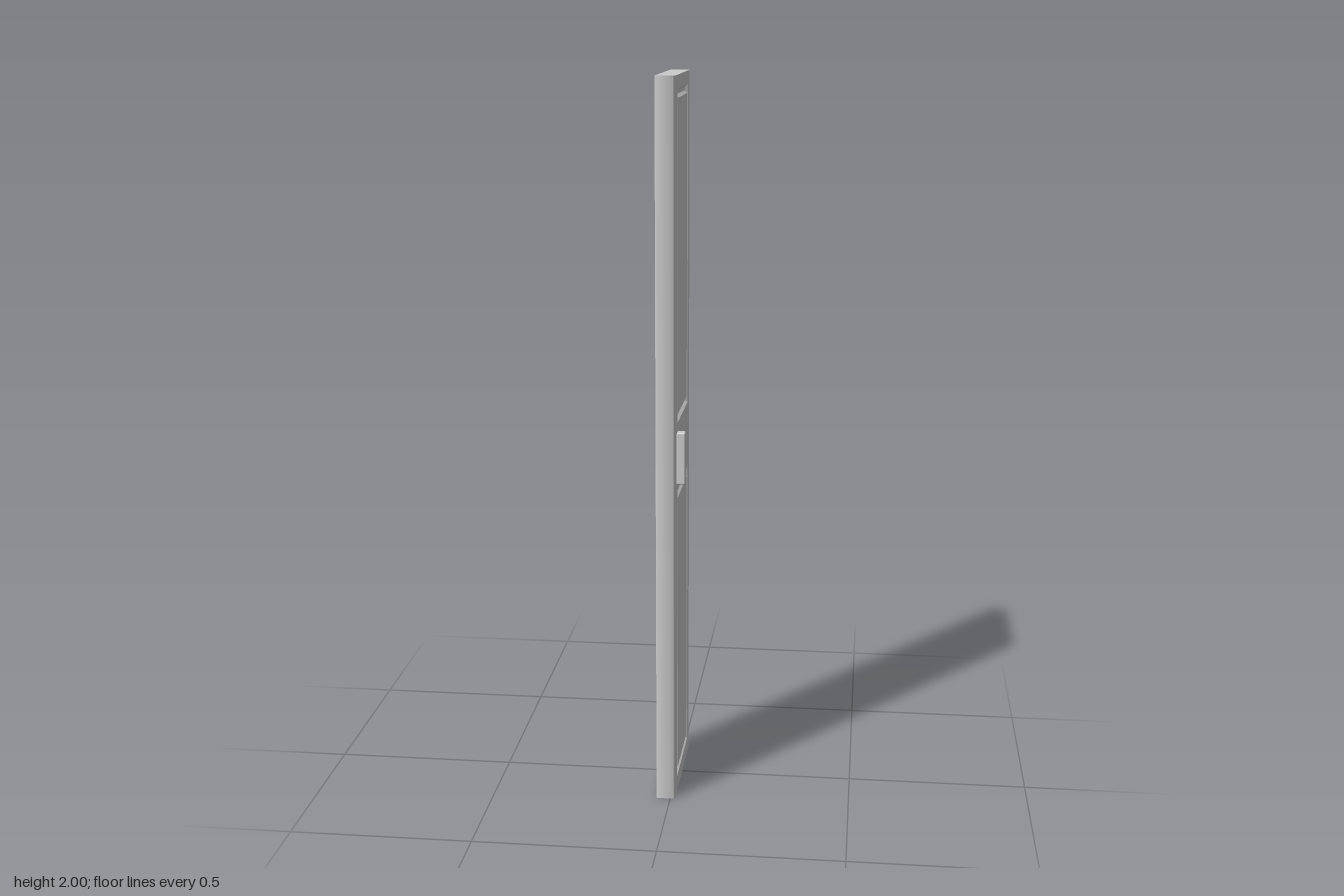
import * as THREE from 'three';
import { toCreasedNormals } from 'three/addons/utils/BufferGeometryUtils.js';
import { RoundedBoxGeometry } from 'three/addons/geometries/RoundedBoxGeometry.js';

const BACK = -0.039, FRONT = 0.014, HALF = 0.185, HEIGHT = 2;
const PANEL_HALF = 0.131, FLOOR = 0.006, NOTCH = 0.004;
const PANELS = [[0.045, 0.887], [1.077, 1.964]];

const material = new THREE.MeshStandardMaterial({ color: 0xcccccc });

function add(group, geometry, name) {
  const mesh = new THREE.Mesh(geometry, material);
  mesh.name = name;
  group.add(mesh);
  return mesh;
}

// Plan section of the door: rounded vertical edges, shallow channel in the face
function doorSection() {
  const r = 0.013, b = 0.004, s = new THREE.Shape();
  s.moveTo(BACK + b, -HALF);
  s.lineTo(FRONT - r, -HALF);
  s.absarc(FRONT - r, -HALF + r, r, -Math.PI / 2, 0, false);
  s.lineTo(FRONT, -PANEL_HALF);
  s.lineTo(NOTCH, -PANEL_HALF);
  s.lineTo(NOTCH, PANEL_HALF);
  s.lineTo(FRONT, PANEL_HALF);
  s.lineTo(FRONT, HALF - r);
  s.absarc(FRONT - r, HALF - r, r, 0, Math.PI / 2, false);
  s.lineTo(BACK + b, HALF);
  s.absarc(BACK + b, HALF - b, b, Math.PI / 2, Math.PI, false);
  s.lineTo(BACK, -HALF + b);
  s.absarc(BACK + b, -HALF + b, b, Math.PI, Math.PI * 1.5, false);
  return s;
}

// Panel lining: nested rectangles stepping down into a groove and up to the field
function panelGeometry(y0, y1) {
  const profile = [[0, FRONT], [0.006, FLOOR], [0.016, FLOOR], [0.023, FRONT]];
  const pos = [], index = [];
  for (const [inset, x] of profile) {
    const z = PANEL_HALF - inset, lo = y0 + inset, hi = y1 - inset;
    pos.push(x, lo, z, x, lo, -z, x, hi, -z, x, hi, z);
  }
  for (let ring = 0; ring < profile.length - 1; ring++) {
    for (let i = 0; i < 4; i++) {
      const a = ring * 4 + i, b = ring * 4 + (i + 1) % 4;
      index.push(a, b, b + 4, a, b + 4, a + 4);
    }
  }
  const c = (profile.length - 1) * 4;
  index.push(c, c + 1, c + 2, c, c + 2, c + 3);
  const g = new THREE.BufferGeometry();
  g.setAttribute('position', new THREE.Float32BufferAttribute(pos, 3));
  g.setIndex(index);
  const flat = g.toNonIndexed();
  flat.computeVertexNormals();
  return flat;
}

export function createModel() {
  const door = new THREE.Group();
  door.name = 'cabinetDoor';

  // Slab with its two stiles
  const slab = new THREE.ExtrudeGeometry(doorSection(), {
    depth: HEIGHT, bevelEnabled: false, curveSegments: 8,
  });
  slab.rotateX(-Math.PI / 2);
  add(door, toCreasedNormals(slab, 0.6), 'doorSlab');

  // Bottom, middle and top rails between the panels
  const rails = [
    ['bottomRail', 0, PANELS[0][0]],
    ['middleRail', PANELS[0][1], PANELS[1][0]],
    ['topRail', PANELS[1][1], HEIGHT],
  ];
  for (const [name, lo, hi] of rails) {
    const rail = add(door, new THREE.BoxGeometry(FRONT - NOTCH, hi - lo, PANEL_HALF * 2), name);
    rail.position.set((FRONT + NOTCH) / 2, (lo + hi) / 2, 0);
  }

  // Grooved panels
  add(door, panelGeometry(...PANELS[0]), 'lowerPanel');
  add(door, panelGeometry(...PANELS[1]), 'upperPanel');

  // Upright pull handle
  const handle = add(door, new RoundedBoxGeometry(0.024, 0.145, 0.026, 3, 0.004), 'handle');
  handle.position.set(0.025, 0.982, 0.132);

  return door;
}
